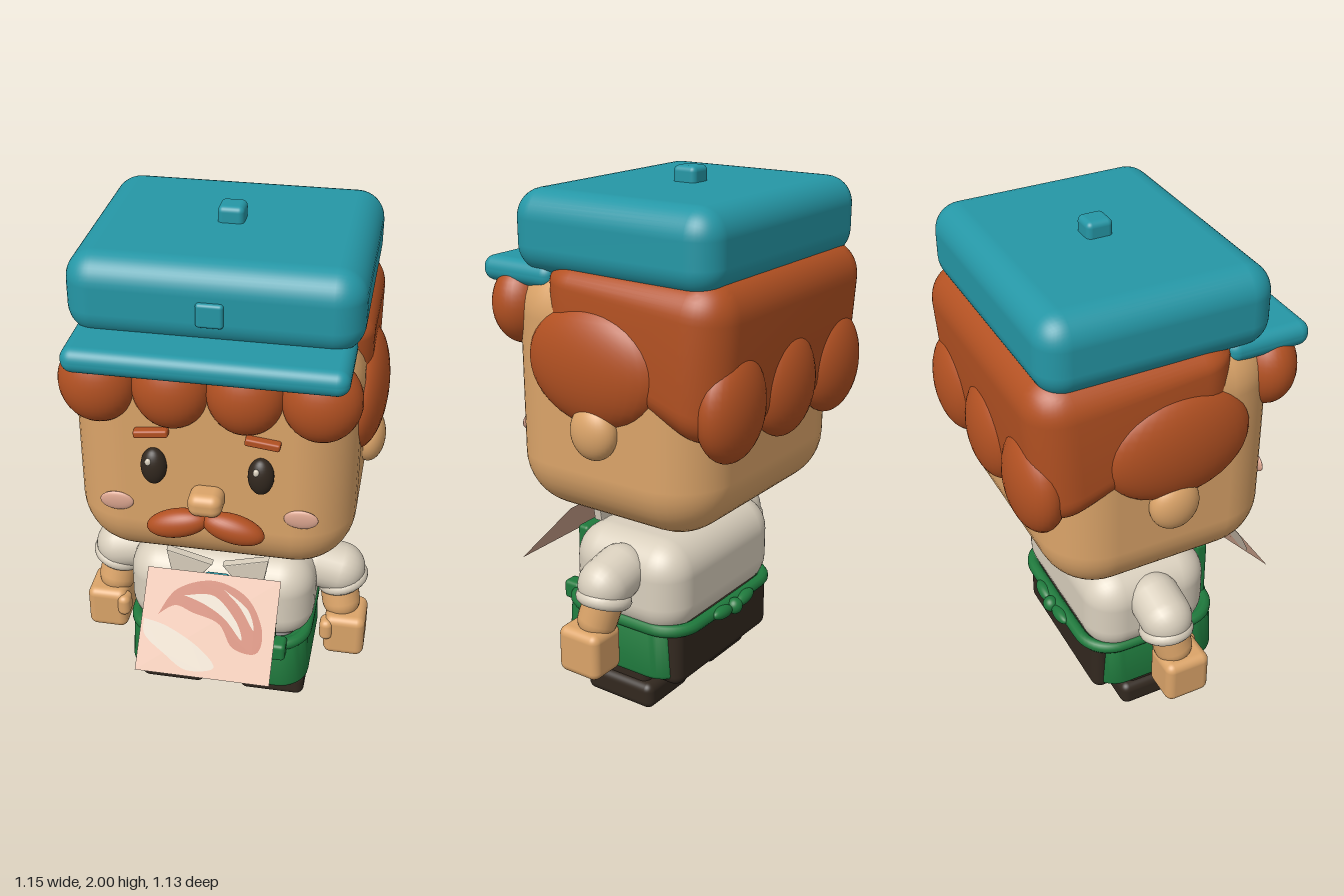
import * as THREE from 'three';
import { RoundedBoxGeometry } from 'three/addons/geometries/RoundedBoxGeometry.js';
import { toCreasedNormals } from 'three/addons/utils/BufferGeometryUtils.js';

const mat = (name, color, side = THREE.FrontSide) => {
  const m = new THREE.MeshStandardMaterial({ color, side });
  m.name = name;
  return m;
};

export function createModel() {
  const root = new THREE.Group();
  root.name = 'shopkeeper';
  const teal = mat('teal cloth', 0x2597a6);
  const hair = mat('ginger hair', 0xb35122);
  const skin = mat('skin', 0xdba469);
  const shirt = mat('cream shirt', 0xd9cfbd);
  const green = mat('green apron', 0x1f7a3d);
  const dark = mat('dark brown', 0x32281f);
  const blush = mat('blush pink', 0xdba58f);
  const cardPink = mat('card pink', 0xd3a890, THREE.DoubleSide);
  const cardRed = mat('card rust', 0xb0501f, THREE.DoubleSide);
  const cardCream = mat('card cream', 0xcdbfad, THREE.DoubleSide);

  const add = (name, geo, m, pos = [0, 0, 0], rot = [0, 0, 0], parent = root) => {
    const mesh = new THREE.Mesh(geo, m);
    mesh.name = name;
    mesh.position.set(...pos);
    mesh.rotation.set(...rot);
    parent.add(mesh);
    return mesh;
  };
  // rounded box given by its extents
  const box = (name, m, [x0, x1], [y0, y1], [z0, z1], r, rot) =>
    add(name, new RoundedBoxGeometry(x1 - x0, y1 - y0, z1 - z0, 5, r), m,
      [(x0 + x1) / 2, (y0 + y1) / 2, (z0 + z1) / 2], rot);
  const ball = (name, m, pos, radii, rot) =>
    add(name, new THREE.SphereGeometry(1, 32, 20).scale(...radii), m, pos, rot);
  // capsule between two points
  const limb = (name, m, a, b, r) => {
    const p = new THREE.Vector3(...a), q = new THREE.Vector3(...b);
    const d = q.clone().sub(p);
    const mesh = add(name, new THREE.CapsuleGeometry(r, d.length(), 8, 24), m, p.clone().add(q).multiplyScalar(0.5).toArray());
    mesh.quaternion.setFromUnitVectors(new THREE.Vector3(0, 1, 0), d.normalize());
  };
  // rounded outline, running from the back round the front to the back again
  const outline = (hw, zb, zf, r) => {
    const pts = [];
    [[1, zb + r], [1, zf - r], [-1, zf - r], [-1, zb + r]].forEach(([s, z], c) => {
      for (let i = 0; i <= 8; i++) {
        const a = (c - 1 + i / 8) * Math.PI / 2;
        pts.push(new THREE.Vector2(s * (hw - r) + r * Math.cos(a), z + r * Math.sin(a)));
      }
    });
    return pts;
  };

  // Head and neck
  box('head', skin, [-0.5, 0.5], [0.78, 1.72], [-0.45, 0.4], 0.21);
  box('neck', skin, [-0.11, 0.11], [0.66, 0.82], [-0.14, 0.09], 0.04);
  box('nose', skin, [-0.06, 0.06], [1.08, 1.168], [0.375, 0.485], 0.035);

  // Hair cap, its lower edge rising toward the front
  const cap = new RoundedBoxGeometry(1.03, 0.6, 0.75, 6, 0.14);
  const cp = cap.attributes.position;
  for (let i = 0; i < cp.count; i++) {
    const y = cp.getY(i), z = cp.getZ(i), low = (0.3 - y) / 0.6;
    cp.setXYZ(i, cp.getX(i), y + low * (z + 0.375) * 0.4, z + (z < 0 ? low * 0.04 : 0));
  }
  cap.computeVertexNormals();
  add('hairCap', toCreasedNormals(cap, 0.9), hair, [0, 1.42, -0.165]);
  for (const x of [-0.33, 0, 0.33])
    ball('backCurl', hair, [x, 1.285, -0.47], [0.165, 0.195, 0.095]);
  for (const x of [-0.375, -0.125, 0.125, 0.375])
    ball('fringeCurl', hair, [x, 1.53, 0.368], [0.135, 0.15, 0.108]);

  // Cap with brim, badge and button
  box('hatCrown', teal, [-0.495, 0.495], [1.655, 1.945], [-0.49, 0.342], 0.1);
  box('hatBrim', teal, [-0.47, 0.47], [1.605, 1.695], [0.18, 0.495], 0.042);
  box('hatBadge', teal, [-0.046, 0.046], [1.745, 1.83], [0.32, 0.358], 0.012);
  box('hatButton', teal, [-0.046, 0.046], [1.92, 2], [-0.125, -0.03], 0.02);

  // Torso, trousers
  box('shirtBody', shirt, [-0.36, 0.36], [0.32, 0.69], [-0.26, 0.24], 0.13);
  box('trousers', dark, [-0.315, 0.315], [0.13, 0.38], [-0.25, 0.235], 0.04);

  // Mirrored parts
  for (const s of [-1, 1]) {
    const span = (a, b) => (s > 0 ? [a, b] : [-b, -a]);
    ball('sideHair', hair, [s * 0.48, 1.38, -0.02], [0.094, 0.21, 0.275]);
    ball('ear', skin, [s * 0.515, 1.16, -0.04], [0.06, 0.1, 0.092]);
    ball('eye', dark, [s * 0.185, 1.235, 0.41], [0.045, 0.07, 0.038]);
    ball('eyeGlint', shirt, [s * 0.185 - 0.012, 1.267, 0.44], [0.011, 0.014, 0.008]);
    ball('cheek', blush, [s * 0.325, 1.065, 0.4], [0.06, 0.037, 0.012]);
    box('eyebrow', hair, span(0.13, 0.25), [1.355, 1.383], [0.39, 0.43], 0.008, [0, 0, -s * 0.12]);
    ball('moustacheHalf', hair, [s * 0.098, 1.033, 0.45], [0.112, 0.053, 0.048], [0, 0, -s * 0.25]);

    // Arms
    limb('sleeve', shirt, [s * 0.35, 0.57, -0.015], [s * 0.44, 0.55, -0.015], 0.1);
    add('sleeveCuff', new THREE.TorusGeometry(0.076, 0.028, 12, 32).rotateX(Math.PI / 2), shirt,
      [s * 0.452, 0.5, -0.018], [0, 0, s * 0.3]);
    limb('forearm', skin, [s * 0.44, 0.49, -0.01], [s * 0.455, 0.41, 0.01], 0.075);
    box('hand', skin, span(0.4, 0.56), [0.207, 0.39], [-0.06, 0.12], 0.032);
    box('thumb', skin, span(0.383, 0.436), [0.283, 0.376], [0.06, 0.133], 0.025);

    // Legs and shoes
    box('leg', dark, span(0.11, 0.31), [0.06, 0.2], [-0.1, 0.11], 0.03);
    box('shoe', dark, span(0.073, 0.335), [0.003, 0.107], [-0.135, 0.17], 0.032);

    // Collar wing
    const wing = new THREE.Shape([[0.025, 0.69], [0.19, 0.735], [0.175, 0.65], [0.08, 0.62]]
      .map(([x, y]) => new THREE.Vector2(s * x, y)));
    add('collarWing', new THREE.ExtrudeGeometry(wing, {
      depth: 0.025, bevelSize: 0.004, bevelThickness: 0.005, bevelSegments: 2 }), shirt, [0, 0, 0.21]);

    // Apron bow at the back
    ball('bowLoop', green, [s * 0.075, 0.36, -0.285], [0.06, 0.025, 0.025], [0, 0, s * 0.12]);
  }

  // Apron skirt: a shell open at the back, flaring slightly downward
  const skirtShape = new THREE.Shape([
    ...outline(0.332, -0.225, 0.272, 0.1),
    ...outline(0.308, -0.2, 0.245, 0.08).reverse()]);
  const skirt = new THREE.ExtrudeGeometry(skirtShape, {
    depth: 0.19, bevelSize: 0.012, bevelThickness: 0.015, bevelSegments: 3 }).rotateX(Math.PI / 2);
  const sp = skirt.attributes.position;
  for (let i = 0; i < sp.count; i++) {
    const k = 1 - sp.getY(i) * 0.15;
    sp.setX(i, sp.getX(i) * k);
    sp.setZ(i, sp.getZ(i) * k);
  }
  add('apronSkirt', toCreasedNormals(skirt, 0.7), green, [0, 0.365, 0]);

  // Apron bib, pocket and belt
  box('apronBib', green, [-0.23, 0.23], [0.36, 0.63], [0.235, 0.285], 0.015);
  box('apronPocket', green, [-0.165, 0.165], [0.21, 0.325], [0.27, 0.315], 0.015);
  box('pocketFlap', green, [-0.165, 0.165], [0.298, 0.33], [0.28, 0.33], 0.012);
  const beltPath = new THREE.CatmullRomCurve3(
    outline(0.335, -0.262, 0.272, 0.12).map((p) => new THREE.Vector3(p.x, 0.362, p.y)), true);
  add('apronBelt', new THREE.TubeGeometry(beltPath, 120, 0.024, 10, true), green);
  box('beltKnot', green, [0.21, 0.275], [0.325, 0.4], [0.25, 0.325], 0.016);
  ball('bowKnot', green, [0, 0.358, -0.292], [0.032, 0.032, 0.03]);

  // Neckerchief tucked above the bib
  box('neckerchiefKnot', teal, [-0.05, 0.05], [0.6, 0.655], [0.225, 0.295], 0.018);
  box('neckerchiefTail', teal, [-0.035, 0.035], [0.46, 0.62], [0.27, 0.295], 0.01);

  // Tilted picture card with flat painted shapes
  const card = new THREE.Group();
  card.name = 'pictureCard';
  card.position.set(0, 0.56, 0.43);
  card.rotation.x = -0.75;
  root.add(card);
  add('cardSheet', new THREE.PlaneGeometry(0.5, 0.383), cardPink, [0, 0, 0], [0, 0, 0], card);
  const paint = (name, m, z, pts) => {
    const shape = new THREE.Shape();
    shape.moveTo(...pts[0]);
    shape.splineThru([...pts.slice(1), pts[0]].map((p) => new THREE.Vector2(...p)));
    add(name, new THREE.ShapeGeometry(shape, 8), m, [0, 0, z], [0, 0, 0], card);
  };
  paint('rustArc', cardRed, 0.002, [[-0.19, 0.02], [-0.13, 0.12], [0, 0.165], [0.13, 0.12], [0.2, 0.01],
    [0.19, -0.08], [0.1, -0.07], [0.04, 0.01], [-0.06, 0.04], [-0.13, 0.06]]);
  paint('creamStreak', cardCream, 0.004, [[-0.1, 0.1], [0.01, 0.11], [0.1, 0.03], [0.13, -0.04], [0.06, 0.03], [-0.02, 0.075]]);
  paint('creamStreak', cardCream, 0.004, [[0.04, 0.14], [0.11, 0.08], [0.17, 0], [0.14, 0.075]]);
  paint('creamPatch', cardCream, 0.002, [[-0.24, 0], [-0.15, -0.02], [-0.03, -0.08], [0.04, -0.15],
    [-0.06, -0.17], [-0.15, -0.12], [-0.23, -0.06]]);
  return root;
}
